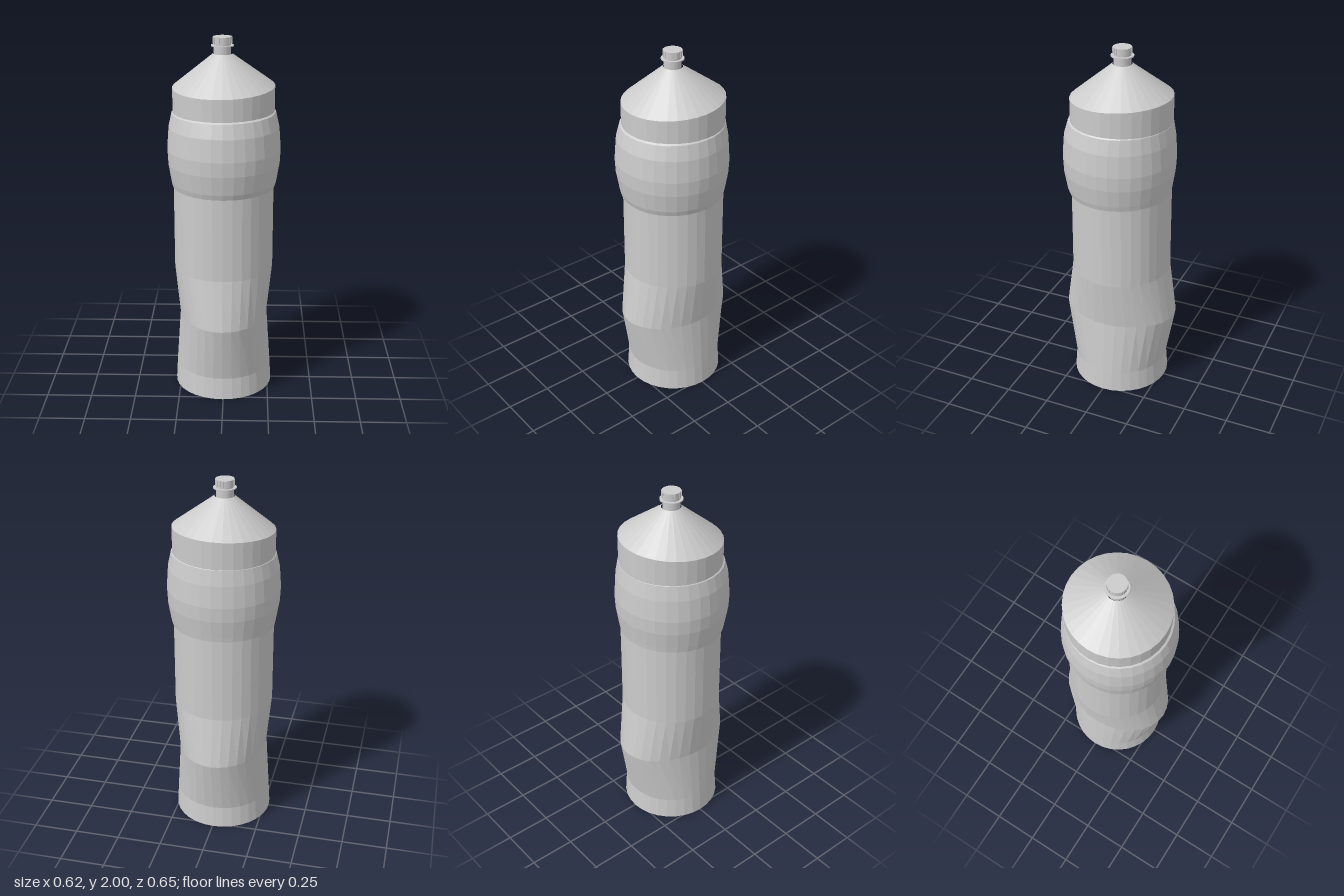
import * as THREE from 'three';

const SIDES = 32;

// Each ring: y, x radius, z radius, centre x, centre z, slope along x, slope along z
function loft(name, rings, material) {
  const profile = rings.map(([y, rx]) => new THREE.Vector2(rx, y));
  const geometry = new THREE.LatheGeometry(profile, SIDES);
  const pos = geometry.attributes.position;
  for (let k = 0; k < pos.count; k++) {
    const [y, rx, rz = rx, cx = -0.004, cz = 0, sx = 0, sz = 0] = rings[k % rings.length];
    const a = Math.floor(k / rings.length) / SIDES * Math.PI * 2;
    const x = rx * Math.sin(a), z = rz * Math.cos(a);
    pos.setXYZ(k, x + cx, y + sx * x + sz * z, z + cz);
  }
  geometry.computeVertexNormals();
  const mesh = new THREE.Mesh(geometry, material);
  mesh.name = name;
  return mesh;
}

export function createModel() {
  const model = new THREE.Group();
  model.name = 'bottle';
  const grey = new THREE.MeshStandardMaterial({ color: 0xcccccc, flatShading: true });

  // Body squeezed in x and pushed out in z near the bottom, with a slanted shoulder edge
  model.add(loft('body', [
    [0, 0.0001, 0.0001],
    [0, 0.275, 0.275],
    [0.125, 0.268, 0.265],
    [0.44, 0.246, 0.324],
    [0.72, 0.275, 0.277],
    [1.2, 0.275, 0.275],
    [1.738, 0.275, 0.275, -0.004, 0, 0.022, -0.058],
    [1.91, 0.052, 0.052, -0.009, -0.002],
  ], grey));

  // Bulging grip band around the upper body
  model.add(loft('gripBand', [
    [1.198, 0.268, 0.268, -0.004, 0, 0, -0.02],
    [1.193, 0.281, 0.281, -0.003, 0.005, 0, -0.02],
    [1.222, 0.288, 0.288, -0.002, 0.008, 0, -0.02],
    [1.32, 0.304, 0.304, -0.002, 0.01],
    [1.4, 0.308, 0.308, -0.002, 0.01],
    [1.52, 0.299, 0.299, -0.002, 0.009],
    [1.6, 0.281, 0.281, -0.003, 0.005, 0.01, -0.015],
    [1.612, 0.268, 0.268, -0.004, 0, 0.01, -0.015],
  ], grey));

  // Spout, thin collar and cap
  const cylinder = (name, radius, bottom, top) => {
    const mesh = new THREE.Mesh(
      new THREE.CylinderGeometry(radius, radius, top - bottom, SIDES), grey);
    mesh.position.set(-0.01, (bottom + top) / 2, -0.001);
    mesh.name = name;
    model.add(mesh);
  };
  cylinder('spout', 0.046, 1.9, 1.97);
  cylinder('collar', 0.061, 1.95, 1.956);
  cylinder('cap', 0.05, 1.965, 2);

  // Fine grip ribs around the cap
  const ribs = new THREE.Group();
  ribs.name = 'capRibs';
  for (let i = 0; i < 20; i++) {
    const a = i / 20 * Math.PI * 2;
    const rib = new THREE.Mesh(new THREE.BoxGeometry(0.006, 0.032, 0.006), grey);
    rib.position.set(-0.01 + 0.049 * Math.sin(a), 1.982, -0.001 + 0.049 * Math.cos(a));
    rib.rotation.y = a;
    rib.name = 'capRib';
    ribs.add(rib);
  }
  model.add(ribs);
  return model;
}
